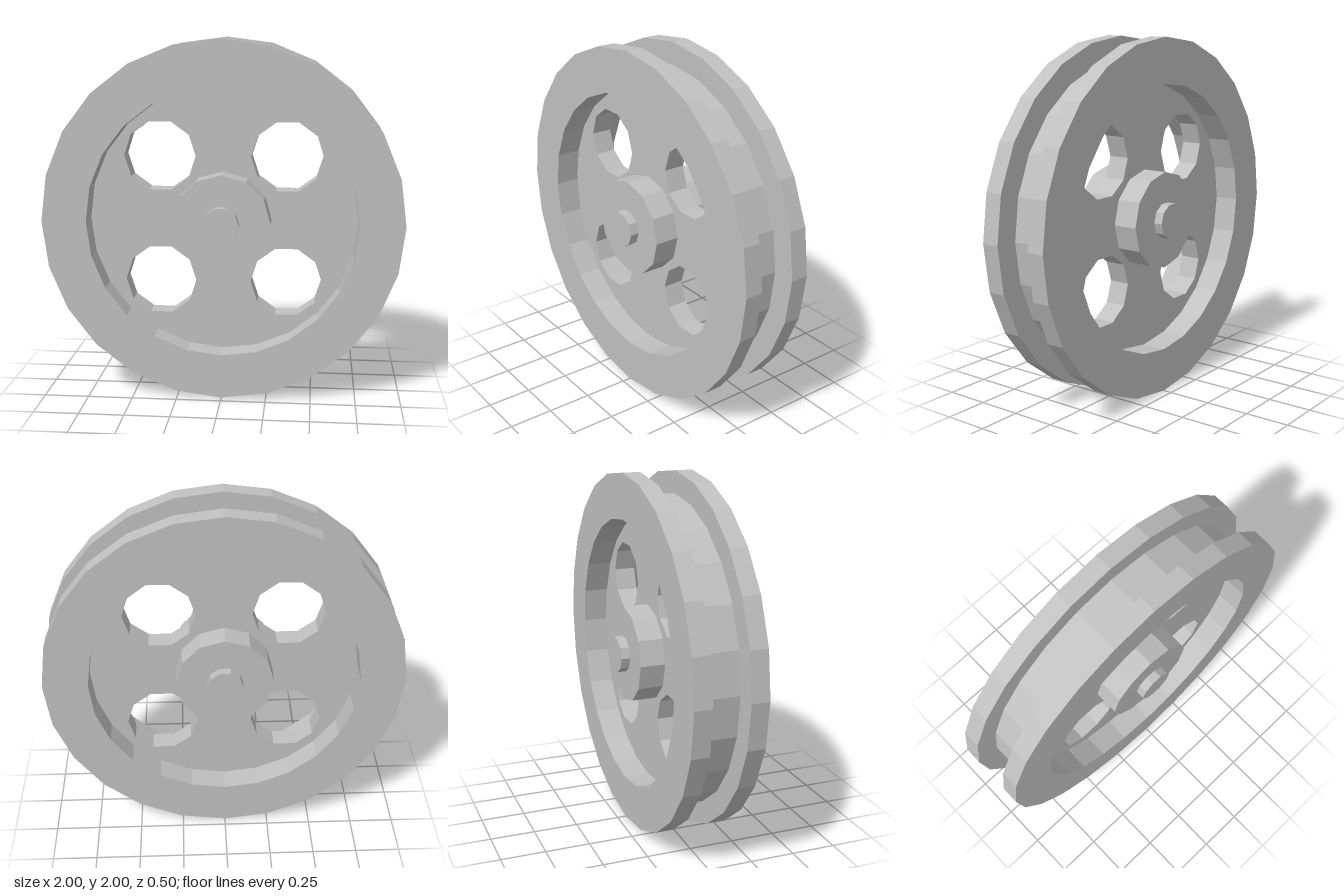
import * as THREE from 'three';

// Corner points of a regular polygon with a corner on the +x side
function polygon(radius, sides, cx = 0, cy = 0) {
  return Array.from({ length: sides }, (_, i) => {
    const a = (i / sides) * Math.PI * 2;
    return new THREE.Vector2(cx + radius * Math.cos(a), cy + radius * Math.sin(a));
  });
}

// Faceted low-poly normals
function faceted(geometry) {
  const flat = geometry.index ? geometry.toNonIndexed() : geometry;
  flat.computeVertexNormals();
  return flat;
}

export function createModel() {
  const grey = new THREE.MeshStandardMaterial({ color: 0xc0c0c0 });
  grey.name = 'grey metal';

  const wheel = new THREE.Group();
  wheel.name = 'pulleyWheel';
  wheel.position.y = 1;

  function add(name, geometry) {
    const mesh = new THREE.Mesh(faceted(geometry), grey);
    mesh.name = name;
    wheel.add(mesh);
  }

  // Rim: two flanges with a square groove between them
  const profile = [
    [0.75, -0.2], [1, -0.2], [1, -0.1], [0.875, -0.1],
    [0.875, 0.1], [1, 0.1], [1, 0.2], [0.75, 0.2], [0.75, -0.2],
  ].map(([r, z]) => new THREE.Vector2(r, z));
  add('groovedRim', new THREE.LatheGeometry(profile, 24).rotateX(Math.PI / 2));

  // Recessed web with four ten-sided holes
  const web = new THREE.Shape(polygon(0.755, 24));
  for (const sx of [-1, 1]) {
    for (const sy of [-1, 1]) {
      web.holes.push(new THREE.Path(polygon(0.2, 10, sx * 0.354, sy * 0.354)));
    }
  }
  const webDepth = 0.12;
  add('web', new THREE.ExtrudeGeometry(web, { depth: webDepth, bevelEnabled: false })
    .translate(0, 0, -webDepth / 2));

  // Hub and axle run through the middle
  add('hub', new THREE.CylinderGeometry(0.27, 0.27, 0.4, 12).rotateX(Math.PI / 2));
  add('axle', new THREE.CylinderGeometry(0.1, 0.1, 0.5, 10, 1, false, Math.PI / 2)
    .rotateX(Math.PI / 2));

  const model = new THREE.Group();
  model.name = 'pulley';
  model.add(wheel);
  return model;
}
